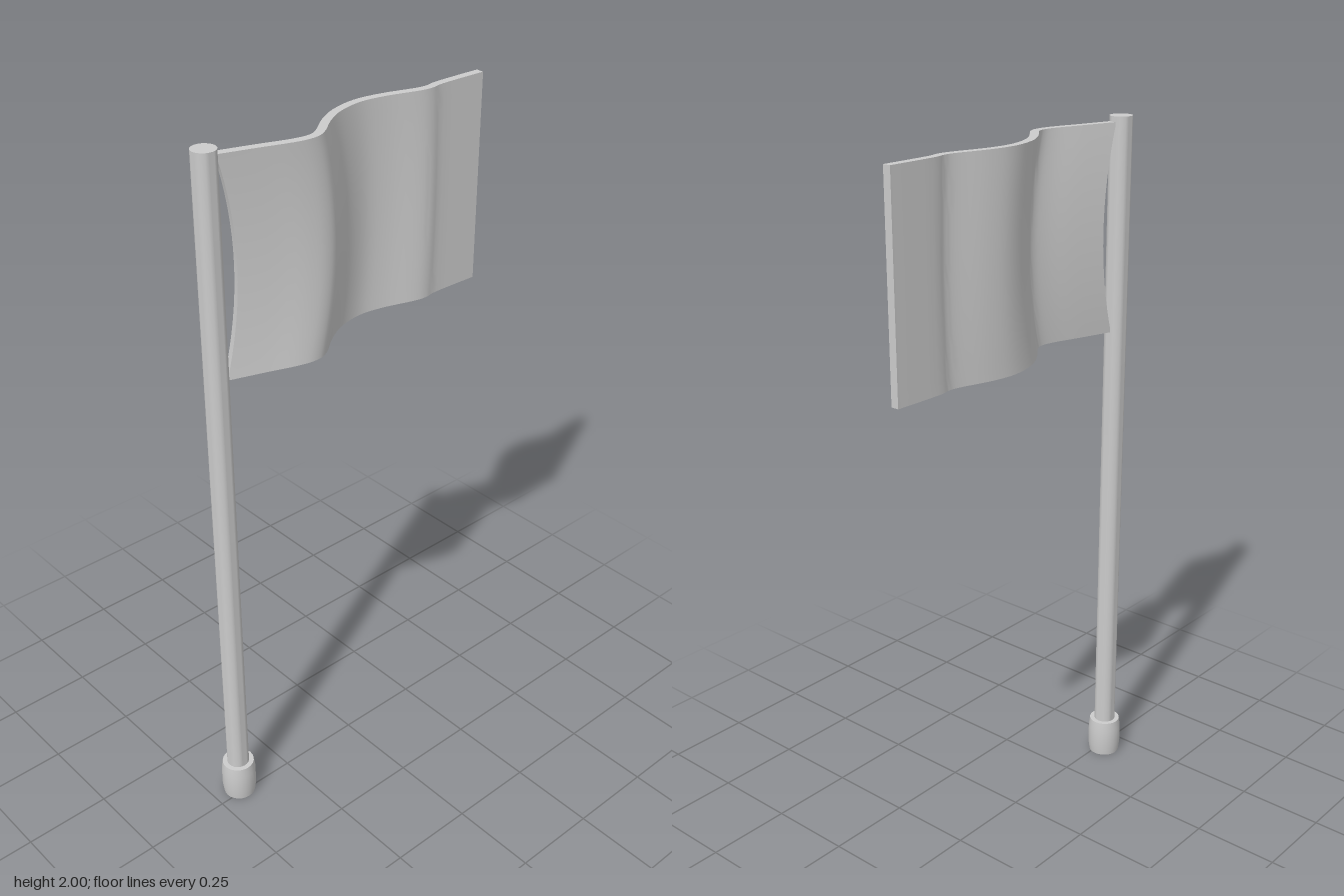
import * as THREE from 'three';
import { toCreasedNormals } from 'three/addons/utils/BufferGeometryUtils.js';

export function createModel() {
  const group = new THREE.Group();
  const material = new THREE.MeshStandardMaterial({ color: 0xcccccc });
  const add = (name, geometry, x = 0, y = 0, z = 0) => {
    const mesh = new THREE.Mesh(toCreasedNormals(geometry, 0.7), material);
    mesh.name = name;
    mesh.position.set(x, y, z);
    group.add(mesh);
  };
  const poleX = -0.018, poleZ = 0.42;

  // Pole, and a slightly barrelled foot with bevelled rims
  add('pole', new THREE.CylinderGeometry(0.032, 0.032, 1.99, 24), poleX, 1.005, poleZ);
  const foot = [[0, 0], [0.046, 0], [0.05, 0.03], [0.05, 0.085], [0.046, 0.115], [0, 0.115]];
  add('foot', new THREE.LatheGeometry(foot.map(([r, y]) => new THREE.Vector2(r, y)), 24), poleX, 0, poleZ);

  // Flag: a wavy strip seen from above, thickened to both sides of its centre line
  const centreLine = new THREE.SplineCurve([
    [-0.012, 0.395], [0.02, 0.295], [0.047, 0.215], [0.055, 0.165], [0.043, 0.127],
    [-0.005, 0.065], [-0.04, 0], [-0.057, -0.08], [-0.047, -0.16], [-0.02, -0.25],
    [-0.015, -0.29], [-0.021, -0.335], [-0.018, -0.475],
  ].map(([x, z]) => new THREE.Vector2(x, -z)));
  const sideA = [], sideB = [], count = 48, half = 0.0115;
  for (let i = 0; i <= count; i++) {
    const p = centreLine.getPoint(i / count), t = centreLine.getTangent(i / count);
    sideA.push(new THREE.Vector2(p.x + t.y * half, p.y - t.x * half));
    sideB.unshift(new THREE.Vector2(p.x - t.y * half, p.y + t.x * half));
  }
  const bottom = 1.4, height = 0.585;
  const flag = new THREE.ExtrudeGeometry(new THREE.Shape([...sideA, ...sideB]),
    { depth: height, steps: 16, bevelEnabled: false });
  flag.rotateX(-Math.PI / 2);

  // The middle height bows away from the pole, fading out toward the free end
  const pos = flag.attributes.position;
  for (let i = 0; i < pos.count; i++) {
    const v = (pos.getY(i) / height) * 2 - 1, z = pos.getZ(i);
    const fade = THREE.MathUtils.clamp((z + 0.4) / 0.6, 0, 1);
    pos.setZ(i, z - 0.046 * (1 - v * v) * fade);
  }
  add('flag', flag, 0, bottom, 0);
  return group;
}
